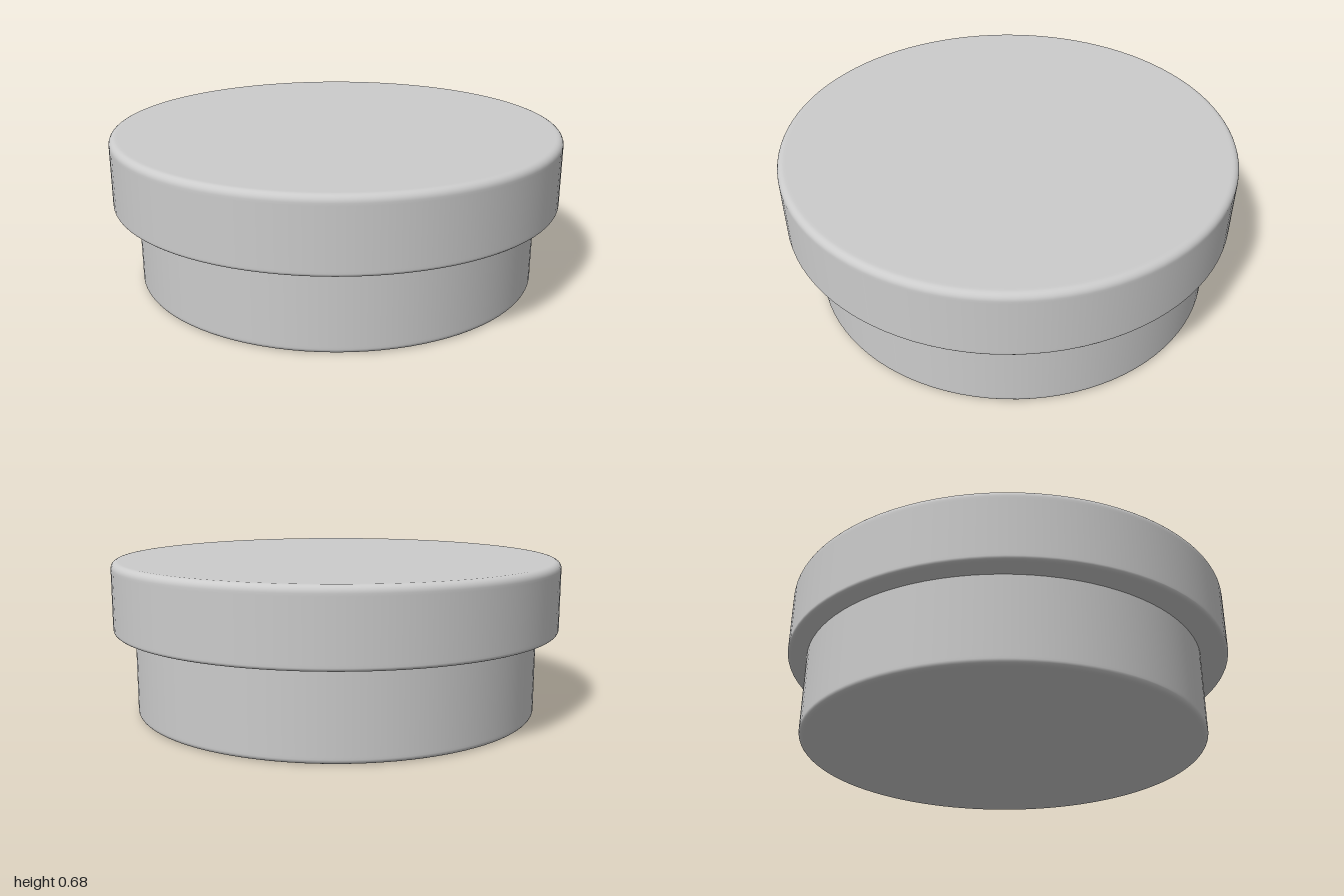
import * as THREE from 'three';

const material = new THREE.MeshStandardMaterial({ color: 0xcccccc });

// Closed disc with rounded rims; support points keep the flats and wall evenly shaded
function roundedDisc(name, radius, y0, y1, bottomR, topR) {
  const points = [new THREE.Vector2(0, y0), new THREE.Vector2(radius - bottomR - 0.01, y0)];
  const corner = (r, cy, start) => {
    for (let i = 0; i <= 6; i++) {
      const a = start + (i / 6) * Math.PI / 2;
      points.push(new THREE.Vector2(radius - r + r * Math.cos(a), cy + r * Math.sin(a)));
    }
  };
  corner(bottomR, y0 + bottomR, -Math.PI / 2);
  points.push(new THREE.Vector2(radius, y0 + bottomR + 0.01));
  points.push(new THREE.Vector2(radius, y1 - topR - 0.01));
  corner(topR, y1 - topR, 0);
  points.push(new THREE.Vector2(radius - topR - 0.01, y1), new THREE.Vector2(0, y1));
  const mesh = new THREE.Mesh(new THREE.LatheGeometry(points, 96), material);
  mesh.name = name;
  return mesh;
}

export function createModel() {
  const group = new THREE.Group();
  group.name = 'lidded round container';

  // Narrower body, set slightly toward the back
  const body = roundedDisc('body', 0.9, 0.005, 0.4, 0.02, 0.005);
  body.position.z = -0.02;
  body.position.y = -0.005;

  // Wide overhanging lid
  const lid = roundedDisc('lid', 1, 0.37, 0.68, 0.015, 0.03);

  group.add(body, lid);
  return group;
}
